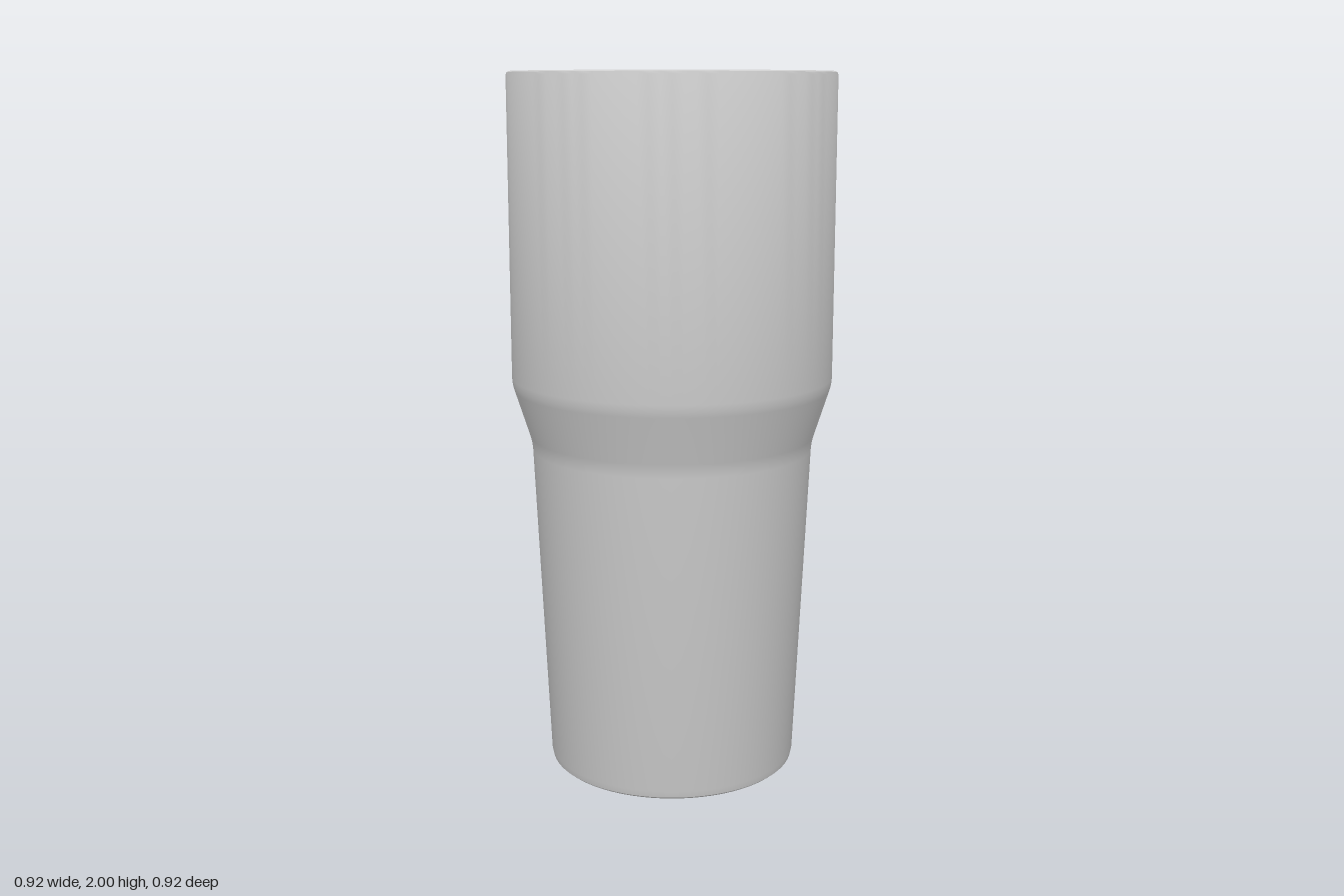
import * as THREE from 'three';
import { toCreasedNormals } from 'three/addons/utils/BufferGeometryUtils.js';

const SEGMENTS = 96;
const material = new THREE.MeshStandardMaterial({ color: 0xcccccc });

// Revolves a [radius, height] profile around y, keeping hard edges sharp
function turned(name, profile) {
  const points = profile.map(([r, y]) => new THREE.Vector2(r, y));
  const geometry = toCreasedNormals(new THREE.LatheGeometry(points, SEGMENTS), 0.42);
  const mesh = new THREE.Mesh(geometry, material);
  mesh.name = name;
  return mesh;
}

export function createModel() {
  const group = new THREE.Group();
  group.name = 'tumbler';

  // Outer shell: flat base, tapered grip, flared shoulder, straight upper body
  group.add(turned('outerShell', [
    [0, 0], [0.35, 0], [0.357, 0.006], [0.361, 0.025],
    [0.402, 0.94], [0.404, 0.96], [0.409, 0.98],
    [0.452, 1.115], [0.456, 1.13], [0.458, 1.15],
    [0.458, 1.99], [0.455, 1.997], [0.45, 2],
  ]));

  // Flat rim with a small bevel into the mouth
  group.add(turned('rim', [[0.45, 2], [0.415, 2], [0.408, 1.99]]));

  // Tapered inner wall, rounded into a flat floor
  const fillet = 0.045, floorY = 0.05, wallR = 0.302;
  const inner = [[0.408, 1.99]];
  for (let i = 0; i <= 6; i++) {
    const a = (i / 6) * Math.PI / 2;
    inner.push([wallR - fillet * (1 - Math.cos(a)), floorY + fillet * (1 - Math.sin(a))]);
  }
  inner.push([0, floorY]);
  group.add(turned('innerCup', inner));

  return group;
}
